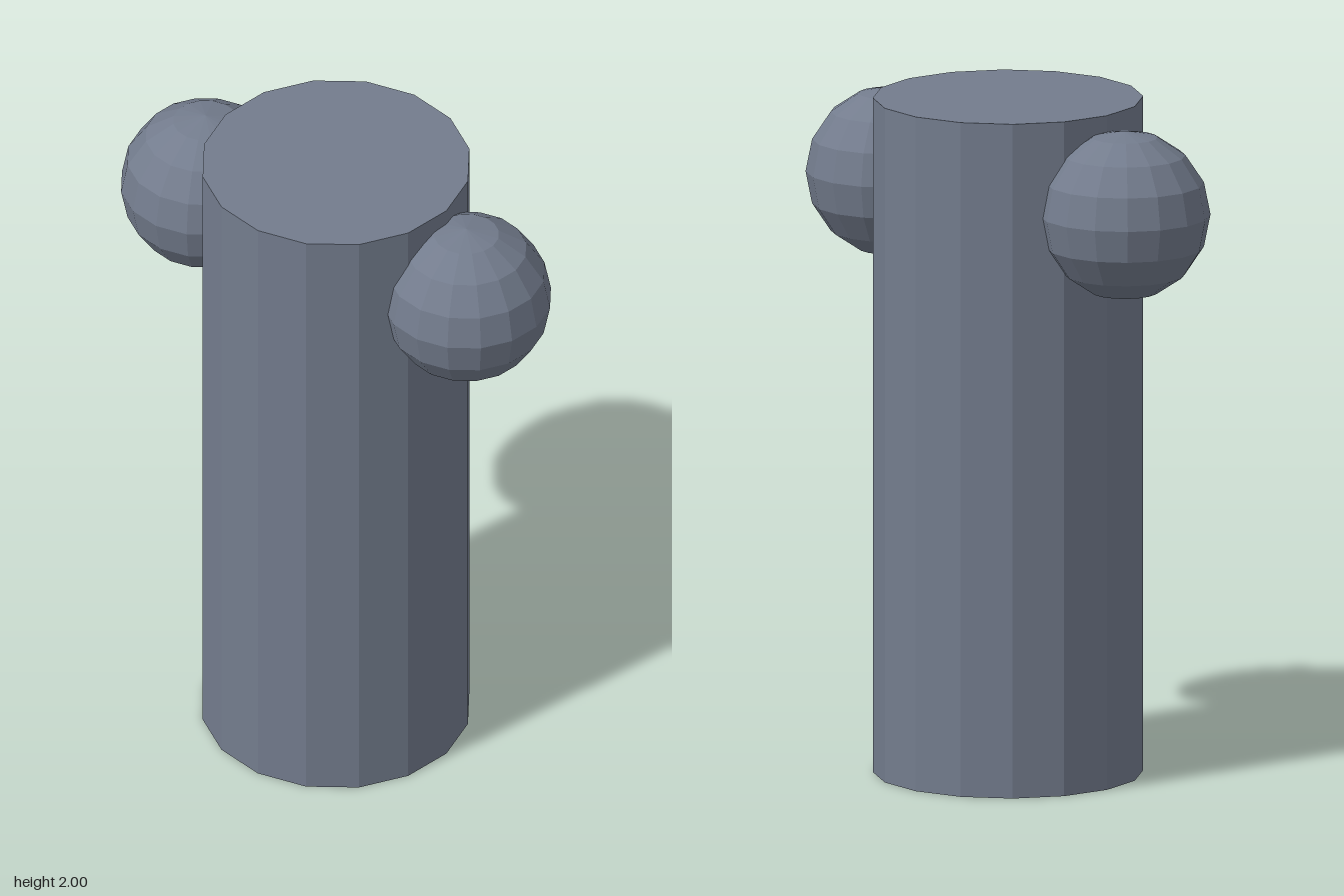
import * as THREE from 'three';

export function createModel() {
  const group = new THREE.Group();
  const material = new THREE.MeshStandardMaterial({ color: 0x737c8d, flatShading: true });

  // Upright 16-sided column
  const column = new THREE.Mesh(new THREE.CylinderGeometry(0.393, 0.393, 2, 16), material);
  column.name = 'column';
  column.position.y = 1;
  group.add(column);

  // Faceted balls set into both sides near the top
  const ballGeometry = new THREE.SphereGeometry(0.249, 16, 8);
  for (const [name, side] of [['leftBall', 1], ['rightBall', -1]]) {
    const ball = new THREE.Mesh(ballGeometry, material);
    ball.name = name;
    ball.position.set(side * 0.464, 1.716, 0);
    group.add(ball);
  }

  return group;
}
